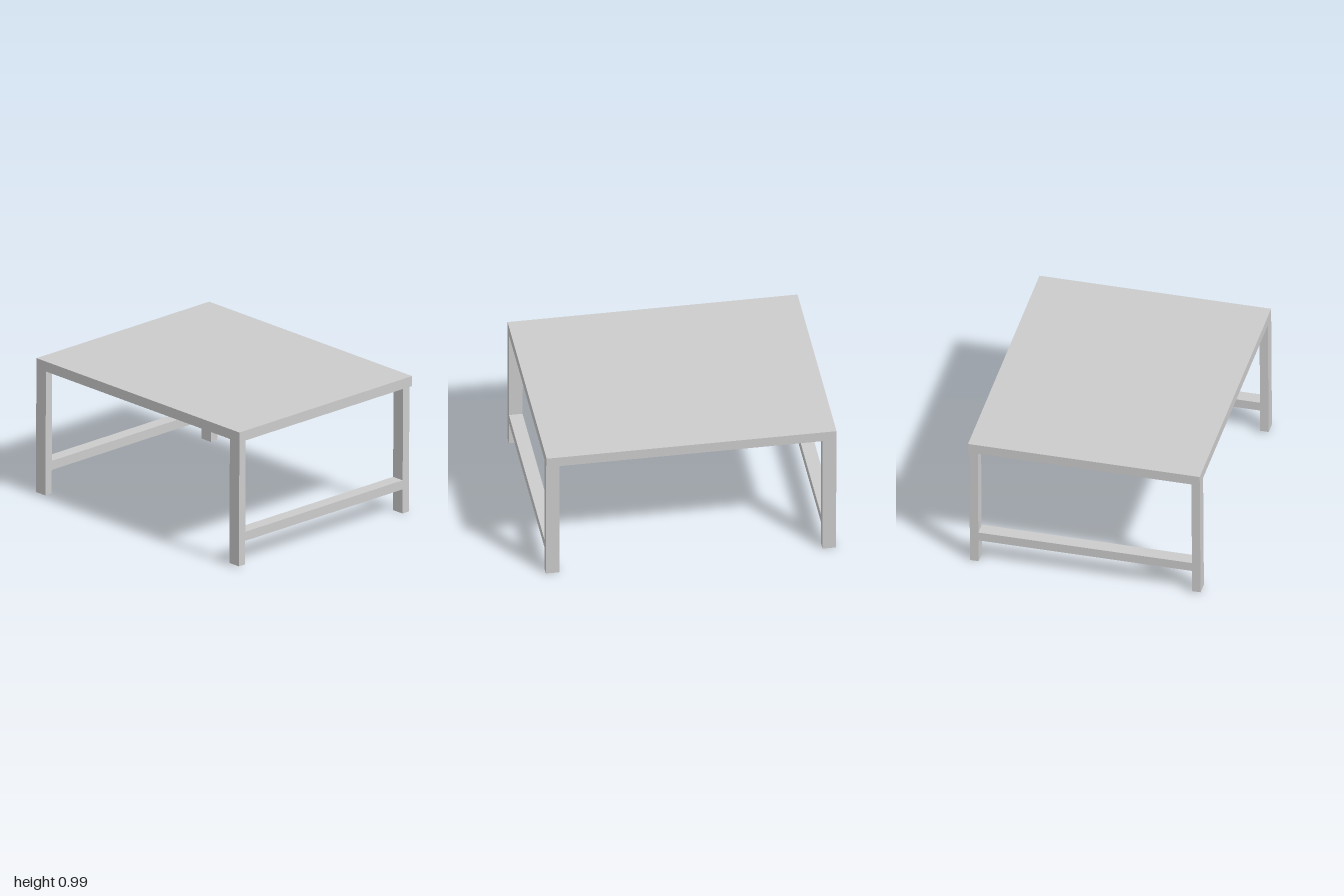
import * as THREE from 'three';

const material = new THREE.MeshStandardMaterial({ color: 0xcccccc, flatShading: true });

// Box given by its minimum and maximum corners
function box(name, [x0, y0, z0], [x1, y1, z1]) {
  const mesh = new THREE.Mesh(new THREE.BoxGeometry(x1 - x0, y1 - y0, z1 - z0), material);
  mesh.name = name;
  mesh.position.set((x0 + x1) / 2, (y0 + y1) / 2, (z0 + z1) / 2);
  return mesh;
}

export function createModel() {
  const table = new THREE.Group();
  table.name = 'table';

  const under = 0.909;
  table.add(box('tableTop', [-1, under, -0.81], [1, 0.981, 0.816]));

  // Each side: two legs joined by a low stretcher
  for (const side of [1, -1]) {
    const label = side > 0 ? 'left' : 'right';
    const inner = side > 0 ? 0.906 : -1;
    const outer = inner + 0.094;
    // The right back leg stands slightly further back
    const back = side > 0 ? -0.785 : -0.802;
    const frame = new THREE.Group();
    frame.name = label + 'Frame';
    frame.add(
      box(label + 'FrontLeg', [inner, 0.01, 0.757], [outer, under, 0.816]),
      box(label + 'BackLeg', [inner, 0.005, back], [outer, under, back + 0.06]),
      box(label + 'Stretcher', [inner, 0.18, back + 0.06], [outer, 0.246, 0.757]),
    );
    table.add(frame);
  }

  // The whole table leans back very slightly
  table.rotation.x = -0.006;

  const model = new THREE.Group();
  model.name = 'model';
  model.add(table);
  return model;
}
